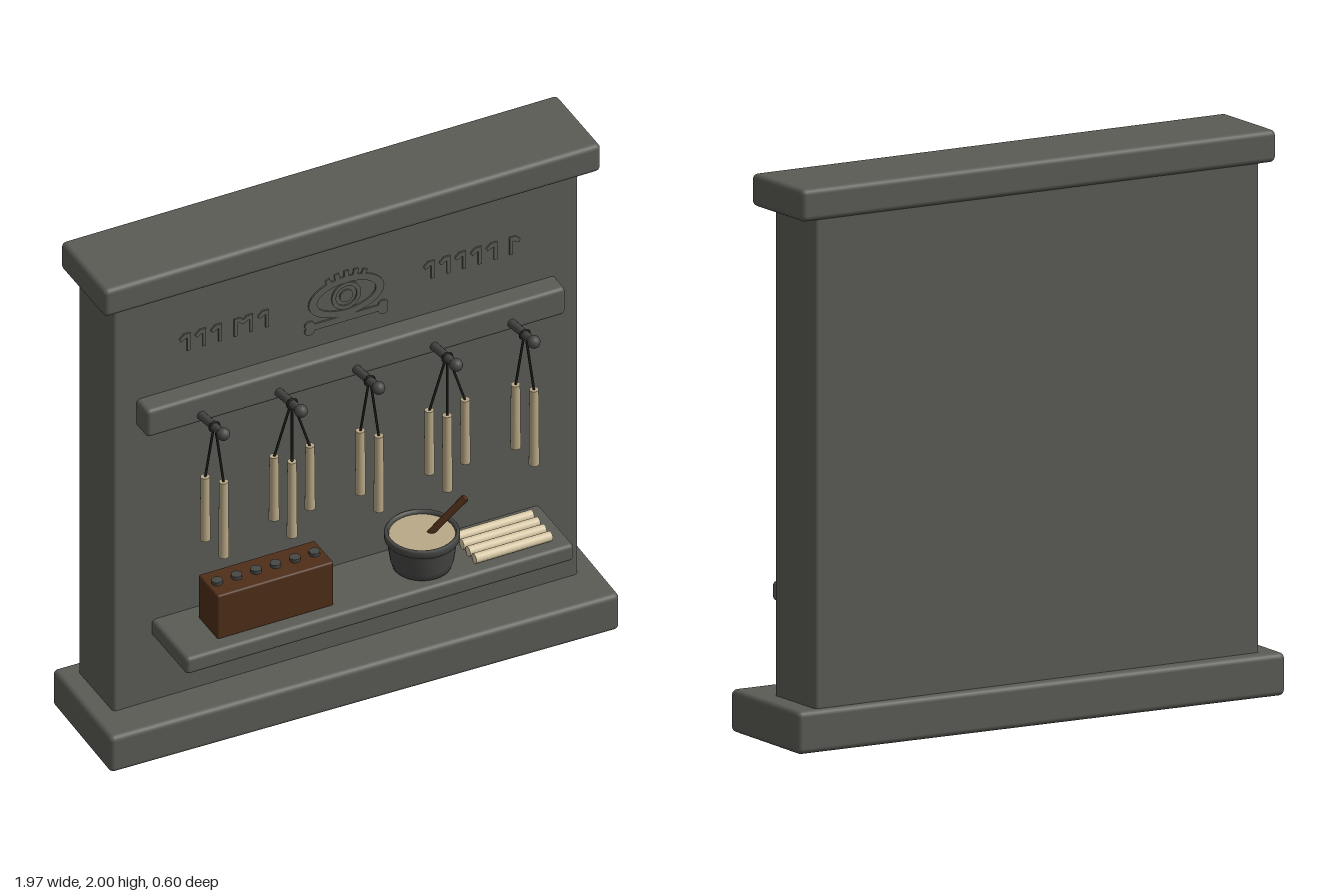
import * as THREE from 'three';
import { RoundedBoxGeometry } from 'three/addons/geometries/RoundedBoxGeometry.js';

const flat = (name, color) => {
  const m = new THREE.MeshStandardMaterial({ color });
  m.name = name;
  return m;
};

export function createModel() {
  const root = new THREE.Group();
  root.name = 'candleMakersWall';

  const stone = flat('stone', 0x5a5b55);
  const iron = flat('darkIron', 0x464845);
  const wood = flat('darkWood', 0x4e2e18);
  const tallow = flat('tallow', 0xb9a987);
  const paleWax = flat('paleWax', 0xd8c9a6);
  const cord = flat('cord', 0x1e1e1c);

  const add = (name, geo, mat, x = 0, y = 0, z = 0, parent = root) => {
    const m = new THREE.Mesh(geo, mat);
    m.name = name;
    m.position.set(x, y, z);
    parent.add(m);
    return m;
  };

  // Rounded block given by its limits on each axis
  const block = (name, mat, x0, x1, y0, y1, z0, z1, r = 0.014) =>
    add(name, new RoundedBoxGeometry(x1 - x0, y1 - y0, z1 - z0, 3, r), mat,
      (x0 + x1) / 2, (y0 + y1) / 2, (z0 + z1) / 2);

  // Round bar between two points, r1 at the start and r2 at the end
  const bar = (name, mat, a, b, r1, r2 = r1, sides = 12, parent = root) => {
    const p = new THREE.Vector3(...a), q = new THREE.Vector3(...b);
    const d = q.clone().sub(p);
    const mid = p.clone().add(q).multiplyScalar(0.5);
    const m = add(name, new THREE.CylinderGeometry(r2, r1, d.length(), sides), mat, mid.x, mid.y, mid.z, parent);
    m.quaternion.setFromUnitVectors(new THREE.Vector3(0, 1, 0), d.normalize());
    return m;
  };

  // Stonework: slightly askew base, wall slab, cap, peg rail and shelf
  const base = block('base', stone, -0.983, 0.983, 0, 0.152, -0.278, 0.188, 0.02);
  base.rotation.y = -0.018;
  block('wall', stone, -0.905, 0.905, 0.13, 1.905, -0.24, 0.03);
  block('cap', stone, -0.967, 0.967, 1.885, 2, -0.255, 0.087, 0.02);
  block('pegRail', stone, -0.815, 0.815, 1.34, 1.455, 0.01, 0.112, 0.016);
  block('shelf', stone, -0.755, 0.755, 0.425, 0.495, 0.01, 0.295, 0.016);

  // Pegs with bundles of hanging candles: [x offset, bottom, top]
  const pair = [[-0.036, 0.92, 1.187], [0.036, 0.824, 1.142]];
  const trio = [[-0.07, 0.92, 1.187], [0, 0.824, 1.142], [0.07, 0.92, 1.187]];
  const hangZ = 0.212;
  for (let i = 0; i < 5; i++) {
    const x = (i - 2) * 0.302;
    const bundle = new THREE.Group();
    bundle.name = 'pegWithCandles';
    root.add(bundle);
    bar('peg', iron, [x, 1.364, 0.06], [x, 1.4, 0.28], 0.017, 0.015, 12, bundle);
    add('pegKnob', new THREE.SphereGeometry(0.024, 16, 10), iron, x, 1.4, 0.28, bundle);
    add('cordLoop', new THREE.TorusGeometry(0.019, 0.004, 6, 18), cord, x, 1.388, hangZ, bundle);
    for (const [dx, y0, y1] of i % 2 ? trio : pair) {
      const cx = x + dx;
      bar('wick', cord, [x + dx * 0.15, 1.37, hangZ], [cx, y1 - 0.005, hangZ], 0.0045, 0.0045, 6, bundle);
      bar('hangingCandle', tallow, [cx, y0, hangZ], [cx, y1, hangZ], 0.019, 0.0165, 14, bundle);
    }
  }

  // Candle mould: wooden block with six iron tubes
  block('mouldBlock', wood, -0.605, -0.152, 0.493, 0.679, 0.09, 0.238, 0.008);
  for (let i = 0; i < 6; i++) {
    add('mouldTube', new THREE.CylinderGeometry(0.02, 0.02, 0.03, 14), iron, -0.569 + i * 0.0757, 0.677, 0.164);
  }

  // Pot of melted wax with a stirring stick
  const potX = 0.227, potZ = 0.167;
  const potProfile = [
    [0, 0.495], [0.088, 0.495], [0.104, 0.504], [0.112, 0.53], [0.121, 0.6], [0.122, 0.613],
    [0.132, 0.618], [0.132, 0.64], [0.128, 0.645], [0.119, 0.645], [0.116, 0.635], [0.114, 0.6],
  ].map(([r, y]) => new THREE.Vector2(r, y));
  const potMat = iron.clone();
  potMat.name = 'potIron';
  potMat.side = THREE.DoubleSide;
  add('pot', new THREE.LatheGeometry(potProfile, 32), potMat, potX, 0, potZ);
  add('meltedWax', new THREE.CylinderGeometry(0.117, 0.114, 0.02, 32), tallow, potX, 0.622, potZ);
  bar('stirringStick', wood, [0.24, 0.605, 0.163], [0.372, 0.766, 0.212], 0.012, 0.014);

  // Finished candles lying on the shelf
  for (let i = 0; i < 4; i++) {
    const z = 0.093 + i * 0.0475;
    bar('shelfCandle', paleWax, [0.395, 0.514, z], [0.693, 0.514, z], 0.019, 0.018, 14);
  }

  // Low relief carving above the rail
  const carving = new THREE.Group();
  carving.name = 'carving';
  carving.position.z = 0.028;
  root.add(carving);
  const relief = (name, shape, x, y) => add(name,
    new THREE.ExtrudeGeometry(shape, { depth: 0.008, bevelEnabled: false, curveSegments: 16 }), stone, x, y, 0, carving);
  const oval = (Kind, rx, ry) => new Kind().absellipse(0, 0, rx, ry, 0, Math.PI * 2);
  const ring = (name, rx, ry, ix, iy) => {
    const s = oval(THREE.Shape, rx, ry);
    s.holes.push(oval(THREE.Path, ix, iy));
    relief(name, s, 0, 1.637);
  };

  // Eye ornament with short lashes
  ring('eyeRim', 0.147, 0.083, 0.115, 0.057);
  ring('iris', 0.057, 0.056, 0.041, 0.041);
  relief('pupil', oval(THREE.Shape, 0.025, 0.025), 0, 1.637);
  for (let i = -2; i <= 2; i++) {
    const a = i * 0.3;
    const lash = add('lash', new THREE.BoxGeometry(0.018, 0.034, 0.008), stone,
      Math.sin(a) * 0.12, 1.637 + Math.cos(a) * 0.09, 0.004, carving);
    lash.rotation.z = -a * 0.6;
  }

  // Bone ornament below the eye
  add('boneShaft', new THREE.BoxGeometry(0.27, 0.026, 0.008), stone, 0, 1.543, 0.004, carving);
  for (const sx of [-1, 1]) for (const sy of [-1, 1]) {
    relief('boneEnd', oval(THREE.Shape, 0.019, 0.017), sx * 0.143, 1.543 + sy * 0.012);
  }

  // Rows of small hooked notches, mirrored on both sides
  const notch = (dir) => {
    const s = new THREE.Shape();
    [[-0.006, -0.037], [0.006, -0.037], [0.006, 0.02], [0.03, 0.008], [0.036, 0.02],
      [0.018, 0.037], [-0.006, 0.037]].forEach(([x, y], i) => (i ? s.lineTo(x * dir, y) : s.moveTo(x * dir, y)));
    return s;
  };
  for (const side of [-1, 1]) for (let i = 0; i < 6; i++) {
    const dir = (side < 0 ? i === 3 : i === 5) ? 1 : -1;
    relief('notch', notch(dir), side * 0.475 + (i - 2.5) * 0.061 + 0.014, 1.64);
  }

  return root;
}
